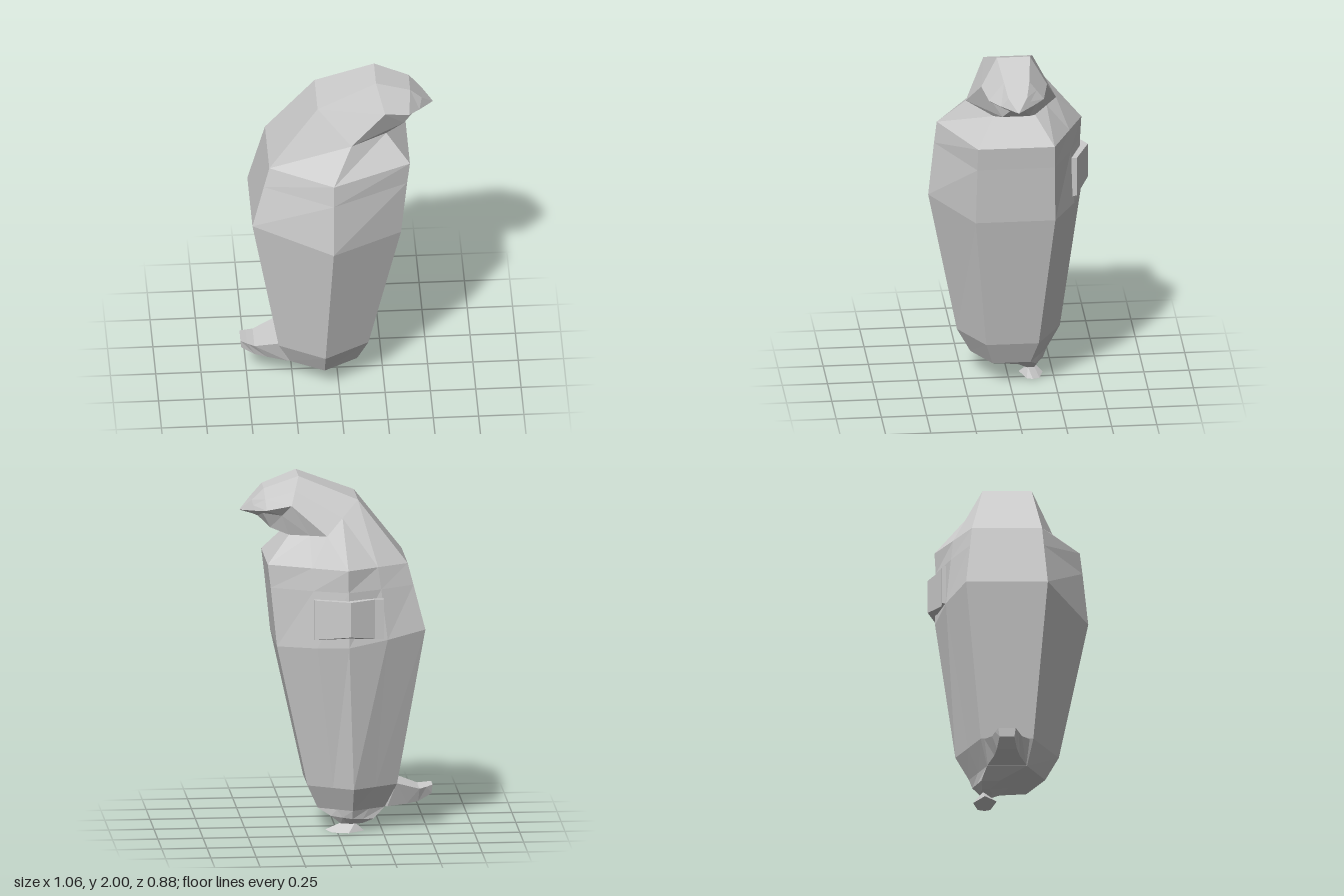
import * as THREE from 'three';
import { ConvexGeometry } from 'three/addons/geometries/ConvexGeometry.js';

const grey = new THREE.MeshStandardMaterial({ color: 0xcccccc, flatShading: true });
grey.name = 'plain grey';

// Skin between rings of equal point count, with fan caps at both ends
function loft(rings) {
  const pos = [];
  const tri = (...pts) => pts.forEach((p) => pos.push(...p));
  const n = rings[0].length;
  for (let i = 0; i < rings.length - 1; i++) {
    for (let j = 0; j < n; j++) {
      const k = (j + 1) % n, lo = rings[i], hi = rings[i + 1];
      tri(lo[j], lo[k], hi[k]);
      tri(lo[j], hi[k], hi[j]);
    }
  }
  const first = rings[0], last = rings[rings.length - 1];
  for (let j = 1; j < n - 1; j++) {
    tri(first[0], first[j + 1], first[j]);
    tri(last[0], last[j], last[j + 1]);
  }
  const geo = new THREE.BufferGeometry();
  geo.setAttribute('position', new THREE.Float32BufferAttribute(pos, 3));
  geo.computeVertexNormals();
  return geo;
}

const mix = (a, b, t) => a.map((v, i) => v + (b[i] - v) * t);

// Six-sided ring: flat back and chest, a ridge on each flank.
// back, side and front are [x, y, half width]; inset flattens the right ridge.
function bodyRing(back, side, front, inset = 0, cz = -0.008) {
  const at = ([x, y, w], s) => [x, y, cz + s * w];
  const ridge = at(side, -1), backR = at(back, -1), frontR = at(front, -1);
  const sunk = [ridge[0], ridge[1], ridge[2] + inset];
  return [at(back, 1), at(side, 1), at(front, 1), frontR,
    mix(ridge, frontR, 0.45), sunk, mix(ridge, backR, 0.5), backR];
}

export function createModel() {
  const model = new THREE.Group();
  const add = (name, geo) => {
    const mesh = new THREE.Mesh(geo, grey);
    mesh.name = name;
    model.add(mesh);
  };

  // Body, hooked neck, head and beak
  add('body', loft([
    bodyRing([-0.14, 0.045, 0.02], [-0.08, 0.045, 0.035], [-0.02, 0.045, 0.02], 0, -0.125),
    bodyRing([-0.2, 0.07, 0.05], [-0.08, 0.08, 0.1], [0.035, 0.09, 0.05], 0, -0.1),
    bodyRing([-0.265, 0.13, 0.11], [-0.08, 0.13, 0.21], [0.105, 0.13, 0.105]),
    bodyRing([-0.33, 0.265, 0.145], [-0.08, 0.265, 0.285], [0.165, 0.265, 0.145]),
    bodyRing([-0.48, 1.15, 0.225], [-0.045, 1.09, 0.447], [0.34, 1.07, 0.22], 0.05),
    bodyRing([-0.416, 1.4, 0.203], [-0.042, 1.4, 0.415], [0.374, 1.4, 0.214], 0.022),
    bodyRing([-0.385, 1.52, 0.193], [-0.04, 1.525, 0.4], [0.39, 1.53, 0.212]),
    bodyRing([-0.115, 1.87, 0.135], [0.065, 1.69, 0.25], [0.265, 1.675, 0.115]),
    bodyRing([0.21, 2.0, 0.092], [0.255, 1.85, 0.182], [0.365, 1.71, 0.075]),
    bodyRing([0.4, 1.93, 0.07], [0.39, 1.82, 0.152], [0.43, 1.77, 0.04]),
    bodyRing([0.465, 1.862, 0.052], [0.45, 1.808, 0.09], [0.46, 1.78, 0.025]),
    bodyRing([0.528, 1.798, 0.002], [0.528, 1.797, 0.003], [0.528, 1.796, 0.002]),
  ]));

  // Short upturned tail: [top x, top y, bottom x, bottom y, half width]
  const tail = [
    [-0.3, 0.255, -0.25, 0.132, 0.12],
    [-0.33, 0.263, -0.28, 0.13, 0.125],
    [-0.46, 0.22, -0.39, 0.135, 0.082],
    [-0.5, 0.227, -0.455, 0.145, 0.065],
    [-0.535, 0.235, -0.53, 0.185, 0.048],
  ];
  add('tail', loft(tail.map(([tx, ty, bx, by, w]) => {
    const z = -0.008;
    return [[tx, ty, z - w], [bx, by, z - w * 0.85], [bx, by, z + w * 0.85], [tx, ty, z + w]];
  })));

  // Single splayed foot
  add('foot', new ConvexGeometry([
    [-0.15, 0, -0.13], [0.065, 0.01, -0.13], [-0.08, 0, -0.065], [-0.06, 0, -0.195],
    [-0.1, 0.048, -0.14], [-0.03, 0.046, -0.11], [0.03, 0, -0.1], [0.03, 0, -0.17],
  ].map((p) => new THREE.Vector3(...p))));

  // Bent bracket wrapped over the right flank ridge
  const bend = new THREE.Shape([
    [-0.24, 0.345], [-0.24, 0.365], [-0.19, 0.37], [-0.05, 0.445],
    [0.145, 0.365], [0.145, 0.335], [-0.05, 0.38], [-0.19, 0.345],
  ].map((p) => new THREE.Vector2(...p)));
  const bracket = new THREE.ExtrudeGeometry(bend, { depth: 0.23, bevelEnabled: false });
  bracket.rotateX(-Math.PI / 2);
  bracket.translate(0, 1.125, 0);
  const p = bracket.attributes.position;
  for (let i = 0; i < p.count; i++) {
    if (p.getY(i) < 1.2) p.setY(i, 1.125 + 0.35 * Math.max(0, -p.getZ(i) - 0.345));
  }
  bracket.computeVertexNormals();
  add('flankBracket', bracket);

  return model;
}
